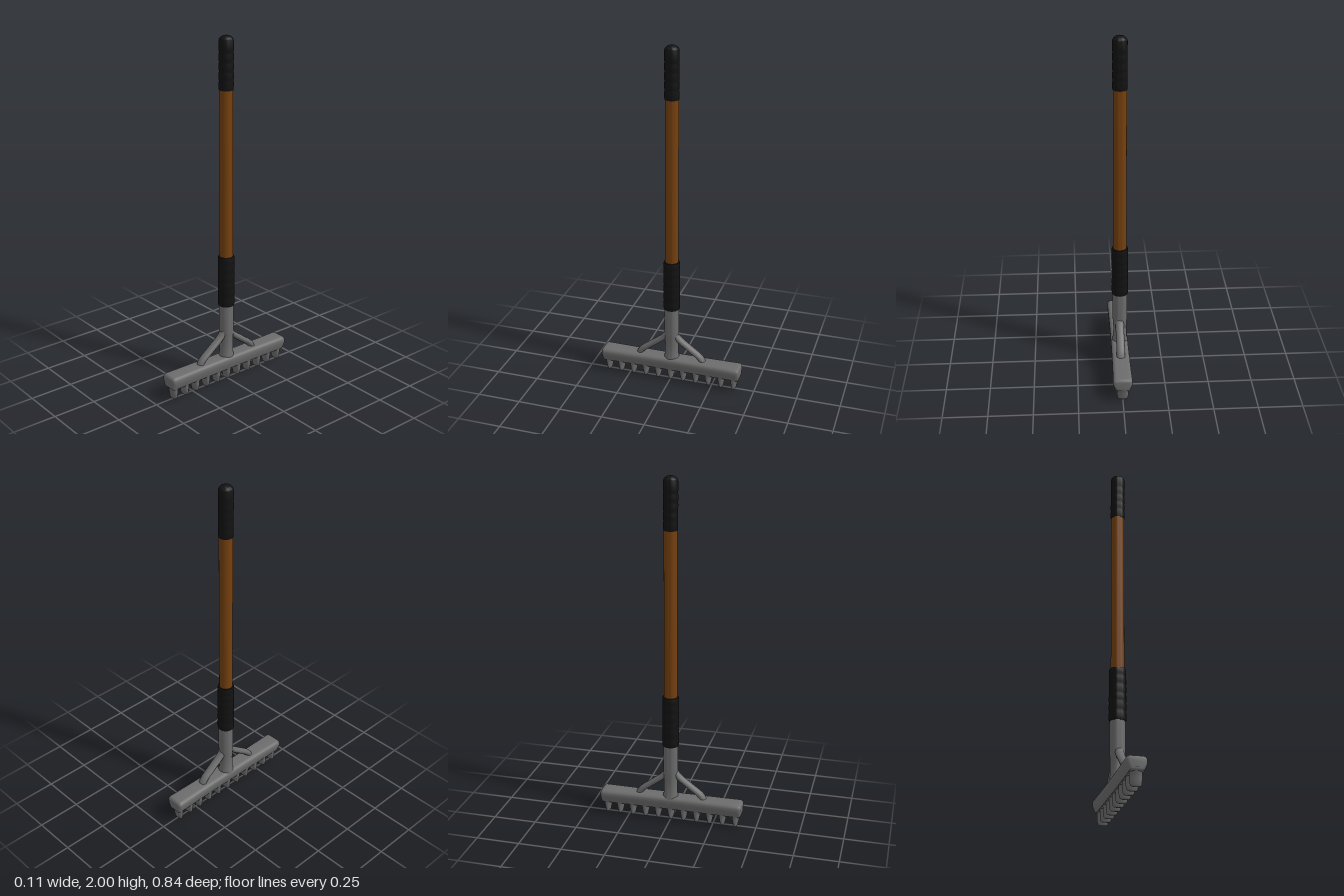
import * as THREE from 'three';
import { mergeVertices, toCreasedNormals } from 'three/addons/utils/BufferGeometryUtils.js';

const mat = (name, color) => {
  const m = new THREE.MeshStandardMaterial({ color });
  m.name = name;
  return m;
};

// Move every vertex by a rule, then rebuild smooth normals
function reshape(geometry, rule, crease) {
  const p = geometry.attributes.position;
  const v = new THREE.Vector3();
  for (let i = 0; i < p.count; i++) {
    rule(v.fromBufferAttribute(p, i));
    p.setXYZ(i, v.x, v.y, v.z);
  }
  geometry.deleteAttribute('uv');
  geometry.deleteAttribute('normal');
  const merged = mergeVertices(geometry, 1e-5);
  merged.computeVertexNormals();
  return crease ? toCreasedNormals(merged, crease) : merged;
}

export function createModel() {
  const model = new THREE.Group();
  model.name = 'gardenRake';
  const steel = mat('grey steel', 0x6c6c6c);
  const wood = mat('brown wood', 0x75400f);
  const rubber = mat('black rubber', 0x121212);

  const add = (name, geometry, material, x = 0, y = 0, z = 0) => {
    const mesh = new THREE.Mesh(geometry, material);
    mesh.name = name;
    mesh.position.set(x, y, z);
    model.add(mesh);
    return mesh;
  };
  // Turned part: list of [radius, height] from bottom to top
  const turned = (name, profile, material) => {
    const g = new THREE.LatheGeometry(profile.map(([r, y]) => new THREE.Vector2(r, y)), 32);
    return add(name, toCreasedNormals(g, 0.7), material, -0.003, 0, -0.003);
  };

  // Handle
  turned('woodenShaft', [[0.037, 0.74], [0.037, 1.73]], wood);

  // Grips with shallow ribs
  const lower = [[0.036, 0.465], [0.045, 0.465], [0.047, 0.475]];
  for (let y = 0.51; y < 0.73; y += 0.05) lower.push([0.047, y], [0.045, y + 0.01], [0.047, y + 0.02]);
  lower.push([0.046, 0.755], [0.044, 0.763], [0.034, 0.763]);
  turned('lowerGrip', lower, rubber);

  const upper = [[0.034, 1.71], [0.039, 1.71], [0.04, 1.717]];
  for (let y = 1.75; y < 1.93; y += 0.05) upper.push([0.04, y], [0.038, y + 0.01], [0.04, y + 0.02]);
  for (let i = 0; i <= 6; i++) {
    const a = (i / 6) * Math.PI / 2;
    upper.push([0.04 * Math.cos(a), 1.97 + 0.03 * Math.sin(a)]);
  }
  turned('upperGrip', upper, rubber);

  // Metal socket running down into the head
  turned('socket', [[0.047, 0.11], [0.044, 0.15], [0.039, 0.17], [0.038, 0.24],
    [0.041, 0.28], [0.042, 0.31], [0.042, 0.44], [0.042, 0.475]], steel);

  // Head bar: rounded section, wide on top, flaring slightly at both ends
  const section = new THREE.Shape();
  section.moveTo(-0.024, 0.086);
  section.lineTo(0.024, 0.086);
  section.lineTo(0.035, 0.115);
  section.lineTo(0.035, 0.128);
  section.quadraticCurveTo(0.035, 0.135, 0.028, 0.135);
  section.lineTo(-0.028, 0.135);
  section.quadraticCurveTo(-0.035, 0.135, -0.035, 0.128);
  section.lineTo(-0.035, 0.115);
  section.closePath();
  const bar = new THREE.ExtrudeGeometry(section, {
    depth: 0.796, steps: 20, curveSegments: 4,
    bevelThickness: 0.019, bevelSize: 0.015, bevelSegments: 4,
  });
  bar.translate(0, 0, -0.398);
  add('headBar', reshape(bar, (v) => {
    const t = Math.abs(v.z) / 0.417;
    v.x *= 0.99 + 0.11 * t * t;
  }, 0.7), steel);

  // Teeth: blunt wedges, broad across the bar and flaring into it
  const toothProfile = [[0, 0], [0.008, 0.001], [0.012, 0.007], [0.016, 0.025],
    [0.020, 0.045], [0.024, 0.062], [0.030, 0.078], [0.038, 0.092]];
  const tooth = reshape(
    new THREE.LatheGeometry(toothProfile.map(([r, y]) => new THREE.Vector2(r, y)), 20),
    (v) => { v.x *= 1.05 + 1.5 * Math.max(0, 1 - v.y / 0.09) ** 1.4; },
  );
  for (let i = 0; i < 11; i++) add('tooth', tooth, steel, 0, 0.003, (i - 5) * 0.0763);

  // Braces from the socket down to the bar
  for (const side of [-1, 1]) {
    const path = new THREE.CatmullRomCurve3([
      [0.31, 0.015], [0.27, 0.045], [0.215, 0.115], [0.165, 0.178], [0.135, 0.195],
    ].map(([y, z]) => new THREE.Vector3(0, y, side * z)));
    const brace = reshape(new THREE.TubeGeometry(path, 20, 0.018, 12, false), (v) => {
      v.x *= 1.35;
    });
    add(side > 0 ? 'frontBrace' : 'backBrace', brace, steel);
  }

  // Rest exactly on the ground
  model.children.forEach((m) => { if (m.name === 'tooth') m.position.y = 0; });
  return model;
}
